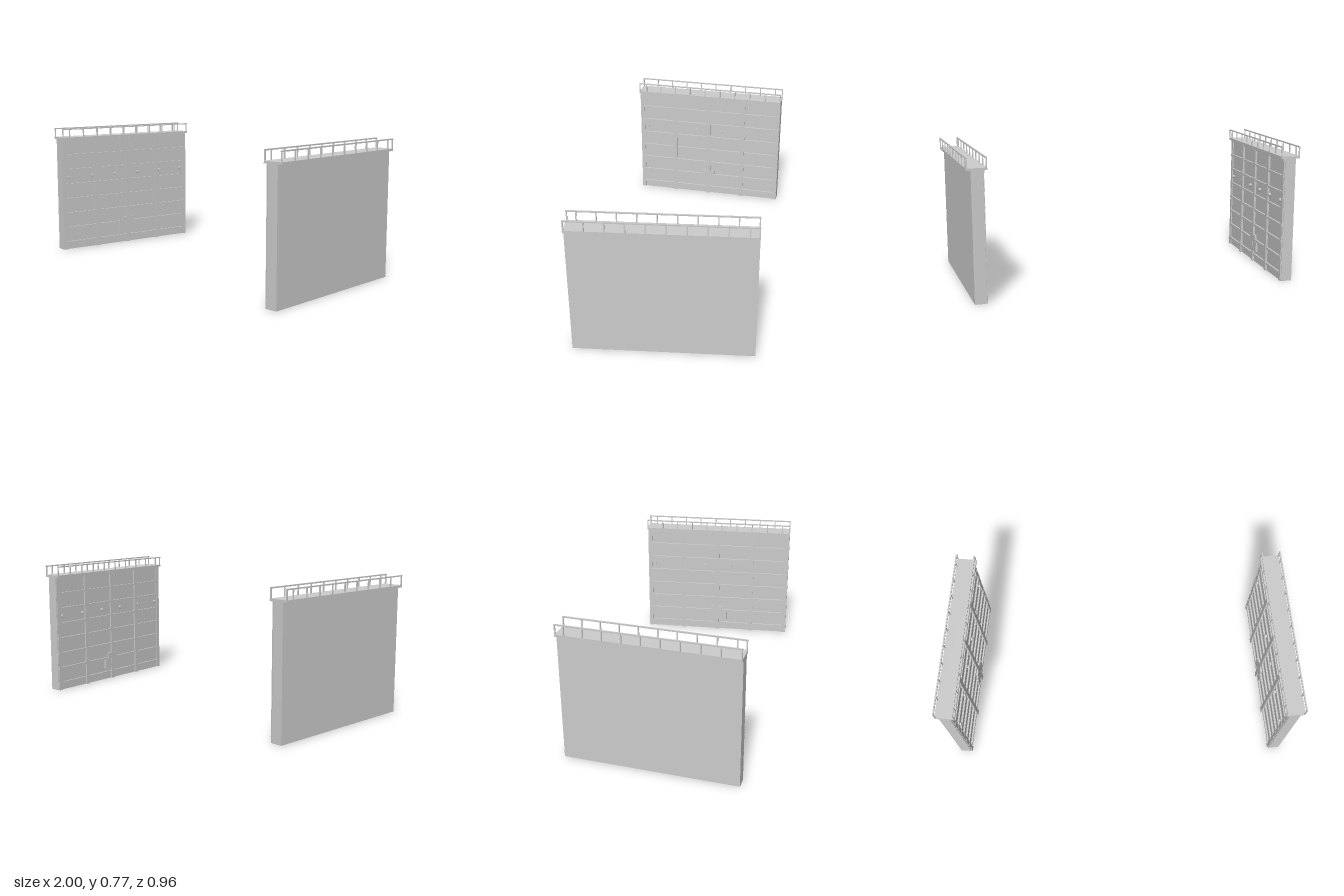
import * as THREE from 'three';

const material = new THREE.MeshStandardMaterial({ color: 0xcccccc });
const LENGTH = 0.954, BODY_TOP = 0.707, DECK_TOP = 0.72, RAIL_TOP = 0.775;
const PLATE = -0.03; // ribbed face of the gate leaf

// side = +1 for the left leaf, -1 for its mirror image
function createGate(side) {
  const gate = new THREE.Group();
  gate.name = side > 0 ? 'leftGate' : 'rightGate';

  const add = (name, geometry, x, y, z) => {
    const mesh = new THREE.Mesh(geometry, material);
    mesh.name = name;
    mesh.position.set(side * x, y, z);
    gate.add(mesh);
    return mesh;
  };
  // Box given by its limits on each axis
  const box = (name, x0, x1, y0, y1, z0, z1) =>
    add(name, new THREE.BoxGeometry(x1 - x0, y1 - y0, z1 - z0),
      (x0 + x1) / 2, (y0 + y1) / 2, (z0 + z1) / 2);

  // Solid leaf and walkway
  const half = LENGTH / 2;
  box('gateLeaf', PLATE, 0.031, 0, BODY_TOP, -half + 0.001, half - 0.001);
  box('walkway', -0.055, 0.055, BODY_TOP, DECK_TOP, -half, half);

  // Upright ribs
  for (let i = 0; i < 5; i++) {
    const z = -0.462 + i * 0.231;
    const end = i === 0 || i === 4;
    box('uprightRib', end ? -0.037 : -0.042, PLATE, 0, BODY_TOP, z - 0.009, z + 0.009);
    box('ribFlange', end ? -0.038 : -0.043, end ? -0.035 : -0.039, 0, BODY_TOP, z - 0.013, z + 0.013);
  }

  // Cross beams
  for (let i = 0; i < 8; i++) {
    const y = 0.044 + i * 0.0935;
    box('crossBeam', -0.04, PLATE, y - 0.007, y + 0.007, -half + 0.004, half - 0.004);
  }

  // Round fittings in a row
  for (let i = 0; i < 6; i++) {
    const z = -0.43 + i * 0.172;
    const fitting = add('roundFitting', new THREE.CylinderGeometry(0.01, 0.01, 0.014, 16), -0.036, 0.465, z);
    fitting.rotation.z = Math.PI / 2;
  }

  // Stepped sluice cover near the foot
  box('sluiceCover', -0.042, PLATE, 0.07, 0.135, -0.068, 0.068);
  box('sluiceCoverTop', -0.042, PLATE, 0.135, 0.17, -0.04, 0.04);

  // Guard rails on both edges, with staggered posts
  for (const edge of [-1, 1]) {
    const x = edge * 0.051;
    box('handRail', x - 0.004, x + 0.004, RAIL_TOP - 0.007, RAIL_TOP, -half, half);
    for (let i = 0; i < 10; i++) {
      const z = edge * (half - 0.004 - i * 0.1);
      box('railPost', x - 0.003, x + 0.003, DECK_TOP - 0.012, RAIL_TOP - 0.004, z - 0.003, z + 0.003);
    }
    const last = -edge * (half - 0.004);
    box('endPost', x - 0.003, x + 0.003, DECK_TOP - 0.012, RAIL_TOP - 0.004, last - 0.003, last + 0.003);
  }

  // Leaves stand slightly splayed toward the front
  gate.position.x = side * 0.9075;
  gate.rotation.y = side * 0.0787;
  return gate;
}

export function createModel() {
  const model = new THREE.Group();
  model.name = 'lockGates';
  model.add(createGate(1), createGate(-1));
  return model;
}
